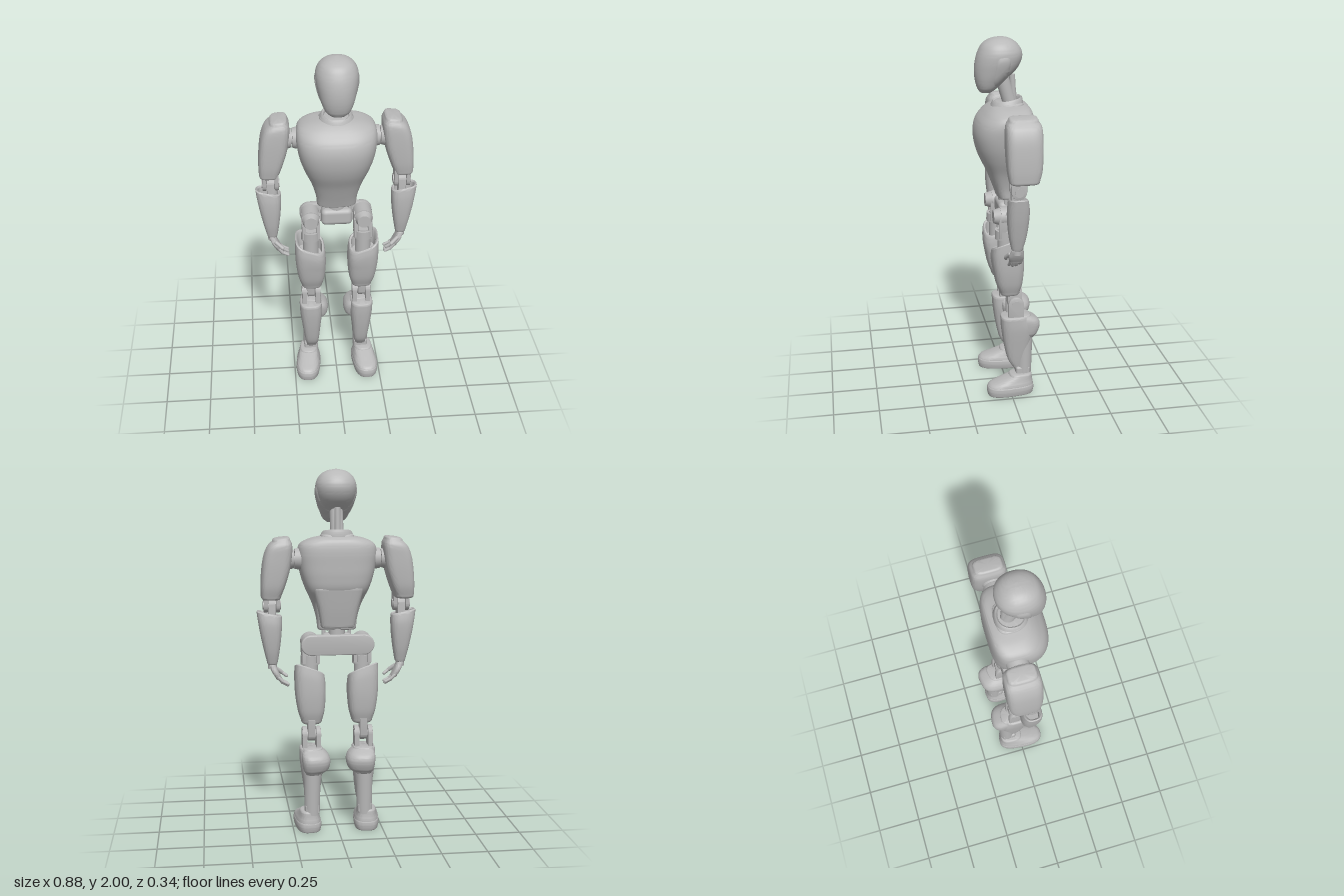
import * as THREE from 'three';
import { toCreasedNormals } from 'three/addons/utils/BufferGeometryUtils.js';
import { RoundedBoxGeometry } from 'three/addons/geometries/RoundedBoxGeometry.js';

const V = (x, y, z) => new THREE.Vector3(x, y, z);

// Catmull-Rom blend of whole sections, t in 0..1
function sectionAt(rows, t) {
  const f = t * (rows.length - 1), i = Math.min(Math.floor(f), rows.length - 2), u = f - i;
  const at = k => rows[Math.max(0, Math.min(rows.length - 1, k))];
  return rows[i].map((_, c) => {
    const [a, b, d, e] = [at(i - 1)[c], at(i)[c], at(i + 1)[c], at(i + 2)[c]];
    return 0.5 * (2 * b + (d - a) * u + (2 * a - 5 * b + 4 * d - e) * u * u + (3 * b - a - 3 * d + e) * u ** 3);
  });
}

// Loft of superellipse rings; rows run bottom to top as [y, x0, x1, z0, z1]
function loft(rows, { front = 2.6, back = front, bevel = 0, hollow = 0, steps = 6, warp } = {}) {
  const N = 48, rings = [];
  const count = (rows.length - 1) * steps;
  for (let i = 0; i <= count; i++) rings.push(sectionAt(rows, i / count));
  const inset = ([y, a, b, c, d], k, dy) => [y + dy, a + k, b - k, c + k, d - k];
  if (bevel) {
    const lo = rings[0], hi = rings[rings.length - 1];
    for (let i = 1; i <= 4; i++) {
      const a = i * Math.PI / 8, k = bevel * (1 - Math.cos(a)), h = bevel * Math.sin(a);
      rings.unshift(inset(lo, k, -h));
      if (!hollow) rings.push(inset(hi, k, h));
    }
  }
  if (hollow) { // rim, then down the inside wall
    const hi = rings[rings.length - 1];
    rings.push(inset(hi, 0.006, 0.006), inset(hi, 0.014, 0), inset(hi, 0.018, -hollow));
  }
  const pos = [], idx = [];
  const put = (x, y, z) => {
    const p = V(x, y, z);
    if (warp) warp(p);
    pos.push(p.x, p.y, p.z);
  };
  for (const [y, x0, x1, z0, z1] of rings)
    for (let j = 0; j < N; j++) {
      const a = j / N * Math.PI * 2, c = Math.cos(a), s = Math.sin(a), e = 2 / (s > 0 ? front : back);
      put((x0 + x1) / 2 + (x1 - x0) / 2 * Math.sign(c) * Math.abs(c) ** e, y,
        (z0 + z1) / 2 + (z1 - z0) / 2 * Math.sign(s) * Math.abs(s) ** e);
    }
  const M = rings.length;
  for (let i = 0; i < M - 1; i++)
    for (let j = 0; j < N; j++) {
      const a = i * N + j, c = i * N + (j + 1) % N;
      idx.push(a, a + N, c, a + N, c + N, c);
    }
  for (const r of [rings[0], rings[M - 1]]) put((r[1] + r[2]) / 2, r[0], (r[3] + r[4]) / 2);
  for (let j = 0; j < N; j++) {
    const k = (j + 1) % N, top = (M - 1) * N;
    idx.push(M * N, j, k, M * N + 1, top + k, top + j);
  }
  const g = new THREE.BufferGeometry();
  g.setAttribute('position', new THREE.Float32BufferAttribute(pos, 3));
  g.setIndex(idx);
  return toCreasedNormals(g, 0.7);
}

// Round bar between two points
function bar(a, b, r, r2 = r, Kind = 'cylinder') {
  const d = b.clone().sub(a), L = d.length();
  const g = Kind === 'capsule' ? new THREE.CapsuleGeometry(r, L, 6, 14) : new THREE.CylinderGeometry(r2, r, L, 32);
  g.applyQuaternion(new THREE.Quaternion().setFromUnitVectors(V(0, 1, 0), d.normalize()));
  const m = a.clone().add(b).multiplyScalar(0.5);
  return g.translate(m.x, m.y, m.z);
}
const box = (w, h, d, x, y, z, r = 0.008) => new RoundedBoxGeometry(w, h, d, 3, r).translate(x, y, z);

// Upright lug with a rounded end, facing sideways
function lug(x, thick, z, yAxis, r, yEnd) {
  const s = new THREE.Shape(), up = yEnd < yAxis;
  s.moveTo(r, yEnd).lineTo(r, yAxis);
  s.absarc(0, yAxis, r, 0, Math.PI, !up);
  s.lineTo(-r, yEnd);
  const g = new THREE.ExtrudeGeometry(s, { depth: thick - 0.008, bevelSize: 0.004, bevelThickness: 0.004, bevelSegments: 2, curveSegments: 16 });
  return toCreasedNormals(g.translate(0, 0, -(thick - 0.008) / 2).rotateY(Math.PI / 2).translate(x, 0, z), 0.7);
}

function mirrored(geo) {
  const g = geo.index ? geo.toNonIndexed() : geo.clone();
  g.scale(-1, 1, 1);
  for (const a of Object.values(g.attributes)) {
    const n = a.itemSize, arr = a.array;
    for (let i = 0; i < arr.length; i += 3 * n)
      for (let k = 0; k < n; k++) [arr[i + n + k], arr[i + 2 * n + k]] = [arr[i + 2 * n + k], arr[i + n + k]];
  }
  return g;
}

export function createModel() {
  const root = new THREE.Group();
  const shell = new THREE.MeshStandardMaterial({ color: 0xb8b8b8 });
  shell.name = 'grey shell';
  const add = (name, geo) => {
    const m = new THREE.Mesh(geo, shell);
    m.name = name;
    root.add(m);
  };
  const pair = (name, geo) => {
    add(name + 'Left', geo);
    add(name + 'Right', mirrored(geo));
  };
  const sym = rows => rows.map(([y, w, z0, z1]) => [y, -w, w, z0, z1]);

  // Head with side panels
  const headRows = sym([[1.712, 0.04, 0.075, 0.138], [1.735, 0.066, 0.045, 0.152], [1.78, 0.086, 0.0, 0.163],
    [1.83, 0.101, -0.055, 0.166], [1.88, 0.11, -0.083, 0.16], [1.925, 0.108, -0.085, 0.146],
    [1.965, 0.088, -0.06, 0.122], [1.99, 0.052, -0.022, 0.08], [2.0, 0.004, 0.02, 0.028]]);
  add('head', loft(headRows, { front: 2.2 }));
  const panel = new THREE.RingGeometry(0.001, 1, 40, 6), p = panel.attributes.position;
  for (let i = 0; i < p.count; i++) {
    const a = Math.atan2(p.getY(i), p.getX(i)), r = Math.hypot(p.getX(i), p.getY(i));
    const sq = v => Math.sign(v) * Math.abs(v) ** 0.5;
    const y = 1.83 + 0.077 * r * sq(Math.sin(a)), z = 0.032 - 0.038 * r * sq(Math.cos(a)) - (y - 1.83) * 0.13;
    let lo = 0, hi = 1;
    for (let k = 0; k < 24; k++) sectionAt(headRows, (lo + hi) / 2)[0] < y ? lo = (lo + hi) / 2 : hi = (lo + hi) / 2;
    const [, , w, z0, z1] = sectionAt(headRows, lo);
    const q = Math.min(1, Math.abs(z - (z0 + z1) / 2) / ((z1 - z0) / 2));
    p.setXYZ(i, w * (1 - q ** 2.2) ** (1 / 2.2) + 0.005 * (1 - r ** 8), y, z);
  }
  panel.computeVertexNormals();
  pair('headPanel', panel);

  // Neck and collar
  add('neck', bar(V(0, 1.62, -0.03), V(0, 1.82, 0.03), 0.036));
  add('neckPiston', bar(V(0, 1.64, -0.045), V(0, 1.8, -0.035), 0.016));
  add('collar', loft(sym([[1.615, 0.097, -0.095, 0.085], [1.64, 0.092, -0.093, 0.082], [1.665, 0.08, -0.088, 0.072]]),
    { front: 2.2, hollow: 0.025, warp: v => { v.y -= 0.16 * v.z; } }));

  // Torso
  add('chest', loft(sym([[1.145, 0.107, -0.05, 0.055], [1.2, 0.113, -0.055, 0.075], [1.28, 0.136, -0.075, 0.107],
    [1.36, 0.172, -0.125, 0.146], [1.43, 0.196, -0.137, 0.167], [1.5, 0.21, -0.139, 0.172],
    [1.56, 0.214, -0.139, 0.155], [1.605, 0.2, -0.133, 0.118], [1.632, 0.15, -0.12, 0.085], [1.645, 0.09, -0.09, 0.06]]),
  { front: 2.6, back: 3.6, bevel: 0.012 }));
  add('backGuard', loft(sym([[1.16, 0.092, -0.09, 0.02], [1.25, 0.108, -0.108, 0.02], [1.37, 0.14, -0.127, 0.02]]),
    { front: 4, back: 5, bevel: 0.01 }));

  // Waist and pelvis
  add('waistJoint', bar(V(0, 1.06, -0.005), V(0, 1.18, -0.005), 0.045));
  pair('waistRod', bar(V(0.072, 1.06, 0.01), V(0.072, 1.17, 0.01), 0.011));
  add('pelvisBar', box(0.17, 0.095, 0.09, 0, 1.065, 0.005, 0.025));
  const st = new THREE.Shape();
  st.absarc(0.145, 1.055, 0.05, -Math.PI / 2, Math.PI / 2);
  st.absarc(-0.145, 1.055, 0.05, Math.PI / 2, Math.PI * 1.5);
  add('pelvisPlate', toCreasedNormals(new THREE.ExtrudeGeometry(st,
    { depth: 0.025, bevelSize: 0.006, bevelThickness: 0.006, bevelSegments: 3, curveSegments: 20 }).translate(0, 0, -0.068), 0.7));

  // Hips
  pair('hipMotor', bar(V(0.145, 1.06, -0.04), V(0.145, 1.06, 0.055), 0.052));
  pair('hipCap', bar(V(0.145, 1.06, 0.055), V(0.145, 1.06, 0.092), 0.048, 0.036));
  for (const x of [0.105, 0.182]) pair('hipFork', lug(x, 0.022, 0.02, 1.04, 0.042, 0.95));
  pair('hipCollar', bar(V(0.145, 0.935, 0.03), V(0.145, 0.985, 0.03), 0.053));
  pair('hipShaft', bar(V(0.145, 0.84, 0.025), V(0.145, 0.99, 0.025), 0.043));

  // Thighs with a sloping open rim
  pair('thigh', loft([[0.625, 0.083, 0.2, -0.052, 0.06], [0.68, 0.069, 0.217, -0.066, 0.08], [0.77, 0.062, 0.23, -0.073, 0.097],
    [0.85, 0.063, 0.233, -0.07, 0.104], [0.905, 0.068, 0.231, -0.06, 0.1]],
  { front: 3.2, bevel: 0.022, hollow: 0.07, warp: v => {
    const t = Math.max(0, (v.y - 0.75) / 0.15);
    v.y += t * ((v.x - 0.15) * 0.35 - v.z * 0.3);
  } }));

  // Knees
  pair('kneeLug', lug(0.145, 0.04, -0.025, 0.55, 0.036, 0.63));
  for (const x of [0.107, 0.183]) pair('kneeFork', lug(x, 0.026, -0.028, 0.548, 0.04, 0.45));
  pair('kneeAxle', bar(V(0.092, 0.548, -0.028), V(0.198, 0.548, -0.028), 0.026));

  // Shins, calf guards and lower struts
  pair('shin', loft([[0.15, 0.115, 0.175, -0.062, -0.02], [0.2, 0.103, 0.184, -0.085, 0.012], [0.3, 0.092, 0.198, -0.112, 0.035],
    [0.4, 0.082, 0.21, -0.122, 0.049], [0.465, 0.085, 0.211, -0.1, 0.053]], { front: 3, bevel: 0.012 }));
  pair('calfGuard', loft([[0.345, 0.085, 0.185, -0.135, -0.03], [0.365, 0.055, 0.197, -0.152, -0.01], [0.41, 0.045, 0.203, -0.166, 0],
    [0.445, 0.057, 0.203, -0.154, 0.005], [0.472, 0.085, 0.195, -0.11, -0.005]],
  { front: 2.8, bevel: 0.008, warp: v => { v.z -= (v.x - 0.13) * 0.15; } }));
  pair('lowerStrut', bar(V(0.148, 0.1, -0.078), V(0.145, 0.37, -0.082), 0.043, 0.047));
  pair('ankleBlock', box(0.08, 0.06, 0.08, 0.148, 0.13, -0.07, 0.012));

  // Feet: sole, shoe upper and heel cuff, turned slightly outwards
  const foot = new THREE.Matrix4().makeTranslation(0.168, 0, 0).multiply(new THREE.Matrix4().makeRotationY(0.1));
  pair('sole', loft([[0.008, -0.067, 0.067, -0.126, 0.132], [0.03, -0.071, 0.071, -0.13, 0.136], [0.05, -0.07, 0.07, -0.129, 0.134]],
    { front: 2.6, back: 3.2, bevel: 0.008 }).applyMatrix4(foot));
  pair('shoe', loft([[0.045, -0.069, 0.069, -0.129, 0.134], [0.066, -0.066, 0.066, -0.127, 0.122], [0.085, -0.059, 0.059, -0.123, 0.075],
    [0.11, -0.052, 0.052, -0.12, 0.008]], { front: 2.6, back: 3, bevel: 0.012 }).applyMatrix4(foot));

  // Shoulders
  pair('shoulderDisc', bar(V(0.2, 1.525, -0.03), V(0.232, 1.525, -0.03), 0.06, 0.054));
  pair('shoulderShaft', bar(V(0.18, 1.525, -0.03), V(0.3, 1.525, -0.03), 0.032));
  pair('shoulderRing', bar(V(0.236, 1.525, -0.03), V(0.27, 1.525, -0.03), 0.05, 0.06));

  // Upper arms
  pair('upperArm', loft([[1.325, 0.308, 0.415, -0.112, 0.045], [1.38, 0.287, 0.416, -0.126, 0.053], [1.46, 0.262, 0.411, -0.132, 0.057],
    [1.54, 0.248, 0.399, -0.133, 0.057], [1.595, 0.246, 0.378, -0.13, 0.052], [1.623, 0.256, 0.35, -0.115, 0.038]],
  { front: 3.8, bevel: 0.015, warp: v => { v.y += Math.max(0, v.y - 1.5) * (0.33 - v.x) * 0.8; } }));

  // Elbows
  for (const x of [0.322, 0.388]) pair('elbowFork', lug(x, 0.022, -0.003, 1.272, 0.036, 1.35));
  pair('elbowAxle', bar(V(0.306, 1.272, -0.003), V(0.404, 1.272, -0.003), 0.024));
  pair('elbowPost', lug(0.355, 0.04, -0.003, 1.272, 0.032, 1.17));

  // Forearms, rim rising to the outside
  pair('forearm', loft([[0.955, 0.326, 0.384, -0.03, 0.032], [1.02, 0.315, 0.4, -0.046, 0.045], [1.1, 0.305, 0.417, -0.057, 0.053],
    [1.17, 0.301, 0.43, -0.06, 0.054], [1.222, 0.301, 0.438, -0.052, 0.048]],
  { front: 2.8, bevel: 0.012, hollow: 0.05, warp: v => { v.y += Math.max(0, (v.y - 1.12) / 0.1) * (v.x - 0.36) * 0.2; } }));

  // Hands, lightly curled inwards
  pair('wrist', bar(V(0.355, 0.92, 0), V(0.355, 0.97, 0), 0.024));
  pair('palm', loft([[0.868, 0.305, 0.338, -0.034, 0.036], [0.9, 0.32, 0.358, -0.037, 0.042], [0.94, 0.336, 0.375, -0.025, 0.03]],
    { front: 3, bevel: 0.01 }));
  for (let i = 0; i < 4; i++) {
    const z = -0.028 + i * 0.019, drop = [0.012, 0.002, 0, 0.006][i];
    pair('fingerBase', bar(V(0.322, 0.872, z), V(0.302, 0.84 + drop, z), 0.009, 0.009, 'capsule'));
    pair('fingerTip', bar(V(0.302, 0.84 + drop, z), V(0.272, 0.824 + drop, z), 0.008, 0.008, 'capsule'));
  }
  pair('thumbBase', bar(V(0.335, 0.915, 0.035), V(0.302, 0.888, 0.05), 0.011, 0.011, 'capsule'));
  pair('thumbTip', bar(V(0.302, 0.888, 0.05), V(0.275, 0.868, 0.046), 0.009, 0.009, 'capsule'));

  return root;
}
